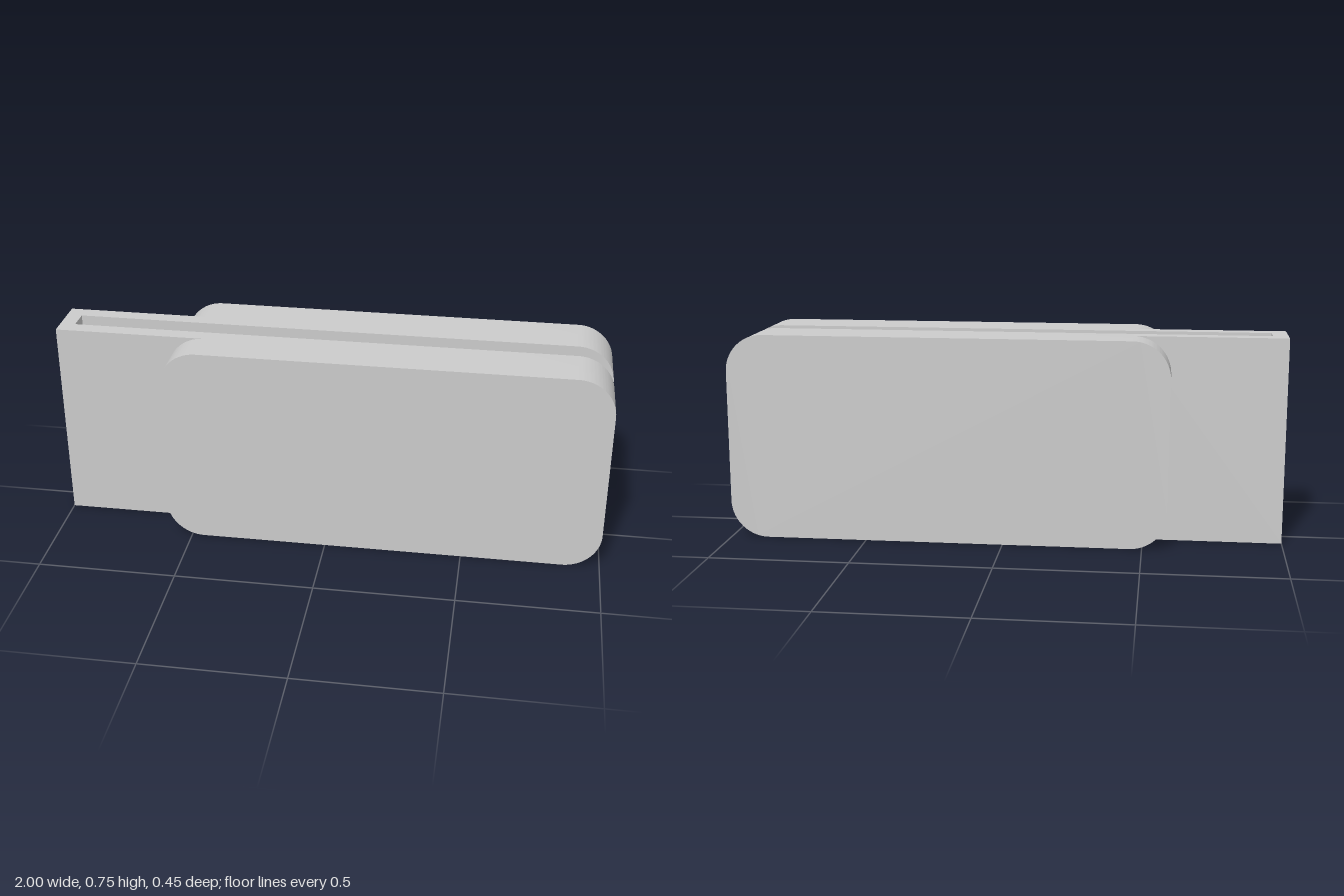
import * as THREE from 'three';
import { toCreasedNormals } from 'three/addons/utils/BufferGeometryUtils.js';

const HEIGHT = 0.747;
const GAP = 0.039;   // half width of the slot
const CLIP = 0.094;  // half depth of the clip
const DEPTH = 0.225; // half depth over both pads
const PAD_LEFT = -0.59;
const RADIUS = 0.135;

// Rectangle with four rounded corners, in x and y
function roundedRect(x0, y0, x1, y1, r) {
  const s = new THREE.Shape();
  s.absarc(x1 - r, y0 + r, r, -Math.PI / 2, 0);
  s.absarc(x1 - r, y1 - r, r, 0, Math.PI / 2);
  s.absarc(x0 + r, y1 - r, r, Math.PI / 2, Math.PI);
  s.absarc(x0 + r, y0 + r, r, Math.PI, Math.PI * 1.5);
  s.closePath();
  return s;
}

export function createModel() {
  const group = new THREE.Group();
  const material = new THREE.MeshStandardMaterial({ color: 0xcccccc });
  const add = (name, geometry) => {
    const mesh = new THREE.Mesh(geometry, material);
    mesh.name = name;
    group.add(mesh);
    return mesh;
  };

  // Two thick rounded pads, either side of the open slot
  const pad = toCreasedNormals(new THREE.ExtrudeGeometry(
    roundedRect(PAD_LEFT, 0, 1, HEIGHT, RADIUS),
    { depth: DEPTH - GAP, bevelEnabled: false, curveSegments: 16 }
  ), 0.5);
  add('frontPad', pad).position.z = GAP;
  add('backPad', pad).position.z = -DEPTH;

  // U-shaped clip joining the pads, its arms ending inside them
  const armEnd = PAD_LEFT + RADIUS;
  const u = new THREE.Shape([
    [-1, -CLIP], [armEnd, -CLIP], [armEnd, -GAP], [-0.945, -GAP],
    [-0.945, GAP], [armEnd, GAP], [armEnd, CLIP], [-1, CLIP],
  ].map(([x, z]) => new THREE.Vector2(x, z)));
  const clip = new THREE.ExtrudeGeometry(u, { depth: HEIGHT, bevelEnabled: false });
  clip.rotateX(-Math.PI / 2);
  add('clip', clip);

  return group;
}
